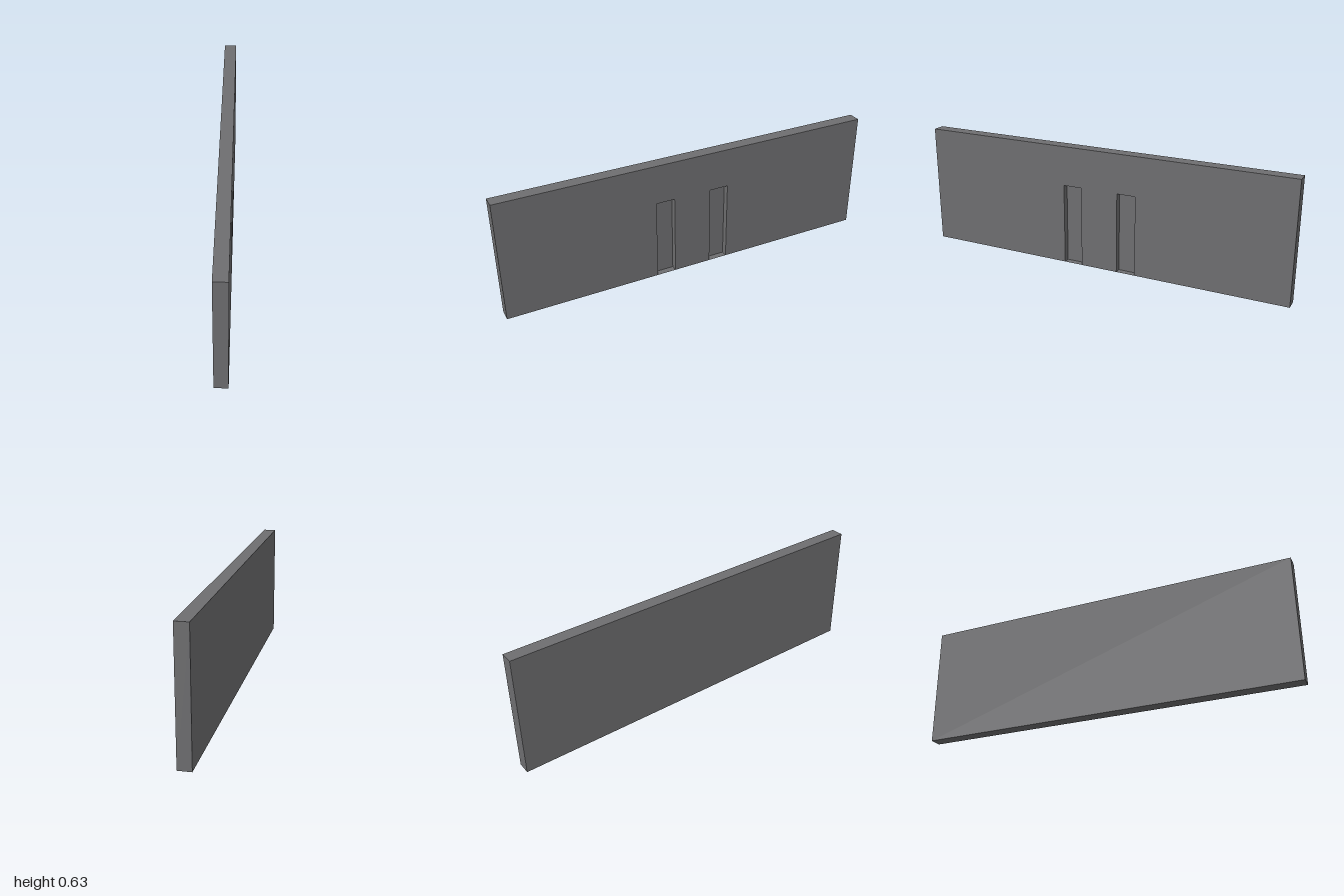
import * as THREE from 'three';

const THICK = 0.066, HEIGHT = 0.634, LENGTH = 2;
const NICHE = { inner: 0.1, outer: 0.2, height: 0.427, depth: 0.033 };

// Box whose +x side is left open; its faces can be turned inward.
function openBox(w, h, d, inward = false) {
  const geo = new THREE.BoxGeometry(w, h, d);
  const index = Array.from(geo.index.array).slice(6);
  if (inward) {
    index.reverse();
    const n = geo.attributes.normal;
    for (let i = 0; i < n.array.length; i++) n.array[i] *= -1;
  }
  geo.clearGroups();
  geo.setIndex(index);
  return geo;
}

export function createModel() {
  const group = new THREE.Group();
  group.name = 'wallPanel';
  const grey = new THREE.MeshStandardMaterial({ color: 0x6e6e70 });
  grey.name = 'grey';

  const add = (name, geo, x, y, z) => {
    const mesh = new THREE.Mesh(geo, grey);
    mesh.name = name;
    mesh.position.set(x, y, z);
    group.add(mesh);
  };

  // Slab: back, ends, top and underside
  add('slab', openBox(THICK, HEIGHT, LENGTH), 0, HEIGHT / 2, 0);

  // Face of the slab, notched for the two niches
  const { inner, outer, height, depth } = NICHE;
  const face = new THREE.Shape();
  face.moveTo(-LENGTH / 2, 0);
  for (const [a, b] of [[-outer, -inner], [inner, outer]]) {
    face.lineTo(a, 0);
    face.lineTo(a, height);
    face.lineTo(b, height);
    face.lineTo(b, 0);
  }
  face.lineTo(LENGTH / 2, 0);
  face.lineTo(LENGTH / 2, HEIGHT);
  face.lineTo(-LENGTH / 2, HEIGHT);
  face.closePath();
  add('slabFace', new THREE.ShapeGeometry(face).rotateY(Math.PI / 2), THICK / 2, 0, 0);

  // Tall niches sunk halfway into the slab
  for (const side of [1, -1]) {
    add(side > 0 ? 'frontNiche' : 'backNiche',
      openBox(depth, height, outer - inner, true),
      THICK / 2 - depth / 2, height / 2, side * (inner + outer) / 2);
  }
  return group;
}
